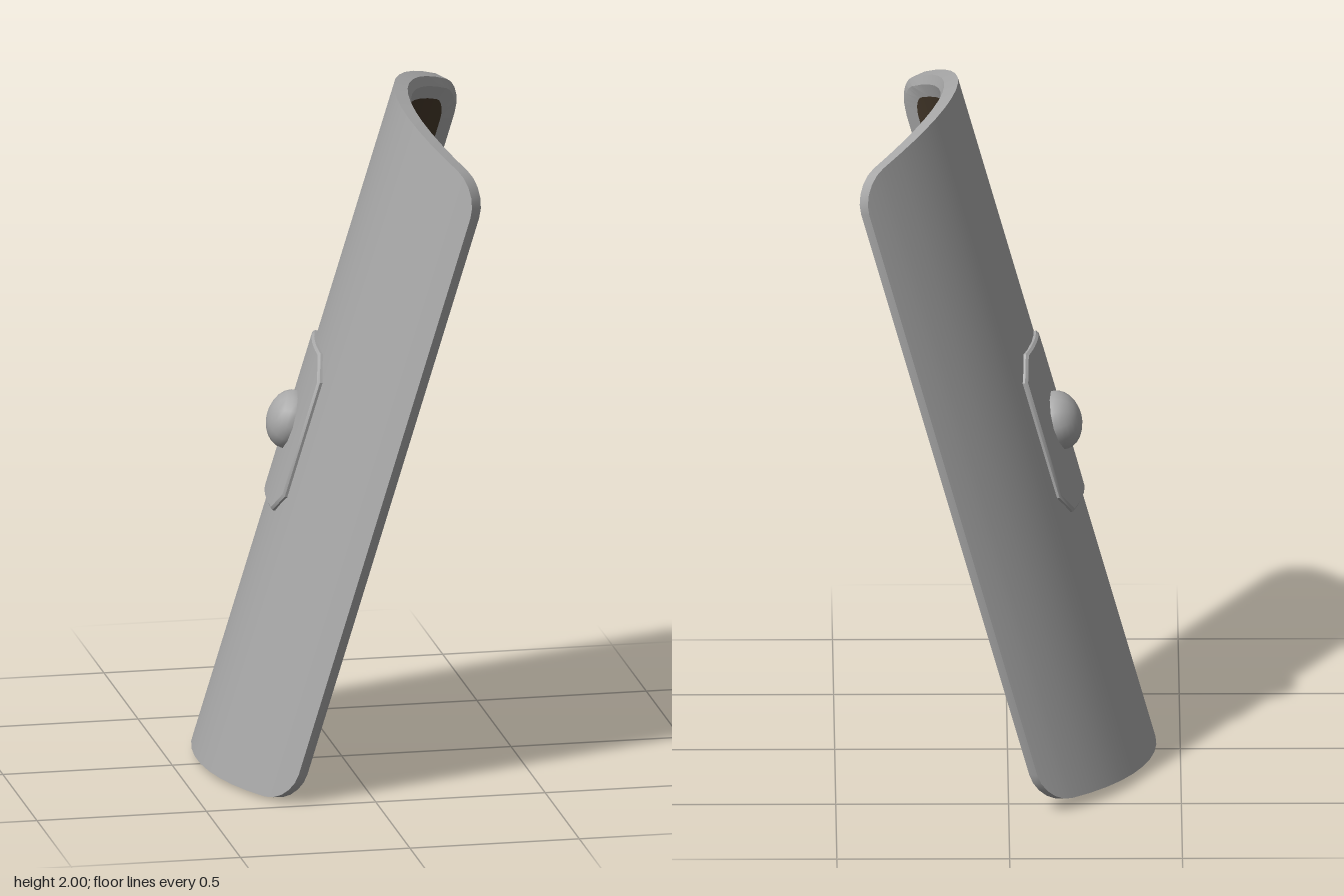
import * as THREE from 'three';
import { toCreasedNormals } from 'three/addons/utils/BufferGeometryUtils.js';

const R = 0.754; // outer radius of the curved shell
const HW = 0.616, HH = 1.032; // half width along the arc, half height
const ARCH = 0.068; // how far the top and bottom edges bow out in the middle

// Rounded rectangle wrapped round a cylinder: top chain left to right, then bottom chain back.
// hw is measured along the arc, c is the corner size, segs = 1 gives chamfered corners.
function loop(hw, hh, c, depth, segs = 5, flat = 14) {
  const top = [];
  for (let i = 0; i <= segs; i++) {
    const a = (i / segs) * Math.PI / 2;
    top.push([-hw + c - c * Math.cos(a), hh - c + c * Math.sin(a)]);
  }
  for (let i = 1; i < flat; i++) top.push([(-1 + 2 * i / flat) * (hw - c), hh]);
  for (let i = segs; i >= 0; i--) top.push([-top[i][0], top[i][1]]);
  const bottom = top.map(([u, y]) => [u, -y]).reverse();
  return [...top, ...bottom].map(([u, y]) => {
    const t = u / R, r = R - depth;
    return [r * Math.sin(t), y * (1 - ARCH * (u / HW) ** 2), r * Math.cos(t) - R];
  });
}

// Joins loops from the outer face inward, with optional caps on the first and last loop.
function skin(loops, capFirst, capLast) {
  const n = loops[0].length, index = [];
  for (let k = 0; k + 1 < loops.length; k++) {
    for (let i = 0; i < n; i++) {
      const j = (i + 1) % n, a = k * n + i, a2 = k * n + j;
      index.push(a, a2, a + n, a2, a2 + n, a + n);
    }
  }
  const cap = (start, flip) => {
    for (let i = 0; i < n / 2 - 1; i++) {
      const t = start + i, t2 = t + 1, b = start + n - 1 - i, b2 = b - 1;
      if (flip) index.push(t, t2, b, t2, b2, b);
      else index.push(t, b, t2, t2, b, b2);
    }
  };
  if (capFirst) cap(0, false);
  if (capLast) cap((loops.length - 1) * n, true);
  const g = new THREE.BufferGeometry();
  g.setAttribute('position', new THREE.Float32BufferAttribute(loops.flat(2), 3));
  g.setIndex(index);
  return toCreasedNormals(g, 0.6);
}

export function createModel() {
  const metal = new THREE.MeshStandardMaterial({ color: 0xa8a8a8 });
  metal.name = 'grey metal';
  const lining = new THREE.MeshStandardMaterial({ color: 0x44382a });
  lining.name = 'dark brown lining';

  const shield = new THREE.Group();
  shield.name = 'shield';
  const add = (name, geometry, material) => {
    const mesh = new THREE.Mesh(geometry, material);
    mesh.name = name;
    shield.add(mesh);
    return mesh;
  };

  // Shell with a bevelled inner edge and a plain rim round the lining
  const panel = loop(0.527, 0.967, 0.06, 0.058);
  add('shell', skin([
    loop(HW, HH, 0.095, 0),
    loop(HW, HH, 0.095, 0.042),
    loop(HW - 0.025, HH - 0.025, 0.085, 0.06),
    panel,
  ], true, false), metal);
  add('lining', skin([panel], false, true), lining);

  // Painted frame, cross bars and disc on the lining
  const d = 0.062;
  add('frame', skin([loop(0.443, 0.841, 0.03, d), loop(0.395, 0.795, 0.02, d)]), metal);
  add('uprightBar', skin([loop(0.026, 0.82, 0.002, d, 1, 2)], false, true), metal);
  add('crossBar', skin([loop(0.42, 0.02, 0.002, d, 1)], false, true), metal);
  const disc = add('centreDisc', skin([loop(0.125, 0.12, 0.12, d + 0.001, 6, 1)], false, true), metal);
  disc.position.y = 0.01;

  // Chamfered plate and dome on the outside
  add('bossPlate', skin([
    loop(0.176, 0.239, 0.063, -0.013, 1, 6),
    loop(0.183, 0.246, 0.066, -0.007, 1, 6),
    loop(0.183, 0.246, 0.066, 0.01, 1, 6),
  ], true, false), metal);
  const dome = new THREE.SphereGeometry(0.09, 12, 6, 0, Math.PI * 2, 0, Math.PI / 2);
  const boss = add('boss', dome.rotateX(Math.PI / 2).scale(1, 1, 0.78), metal);
  boss.position.z = 0.007;

  // Lean the shield: local y is its length, local z its outward side
  const along = new THREE.Vector3(0.278, 0.959, 0.06).normalize();
  const out = new THREE.Vector3(-0.952, 0.283, -0.118);
  const across = new THREE.Vector3().crossVectors(along, out).normalize();
  out.crossVectors(across, along);
  shield.quaternion.setFromRotationMatrix(new THREE.Matrix4().makeBasis(across, along, out));

  // Stand it on the ground, centred
  const model = new THREE.Group();
  model.name = 'curvedShield';
  model.add(shield);
  model.updateMatrixWorld(true);
  const box = new THREE.Box3().setFromObject(shield, true);
  const c = box.getCenter(new THREE.Vector3());
  shield.position.set(-c.x, -box.min.y, -c.z);
  return model;
}
